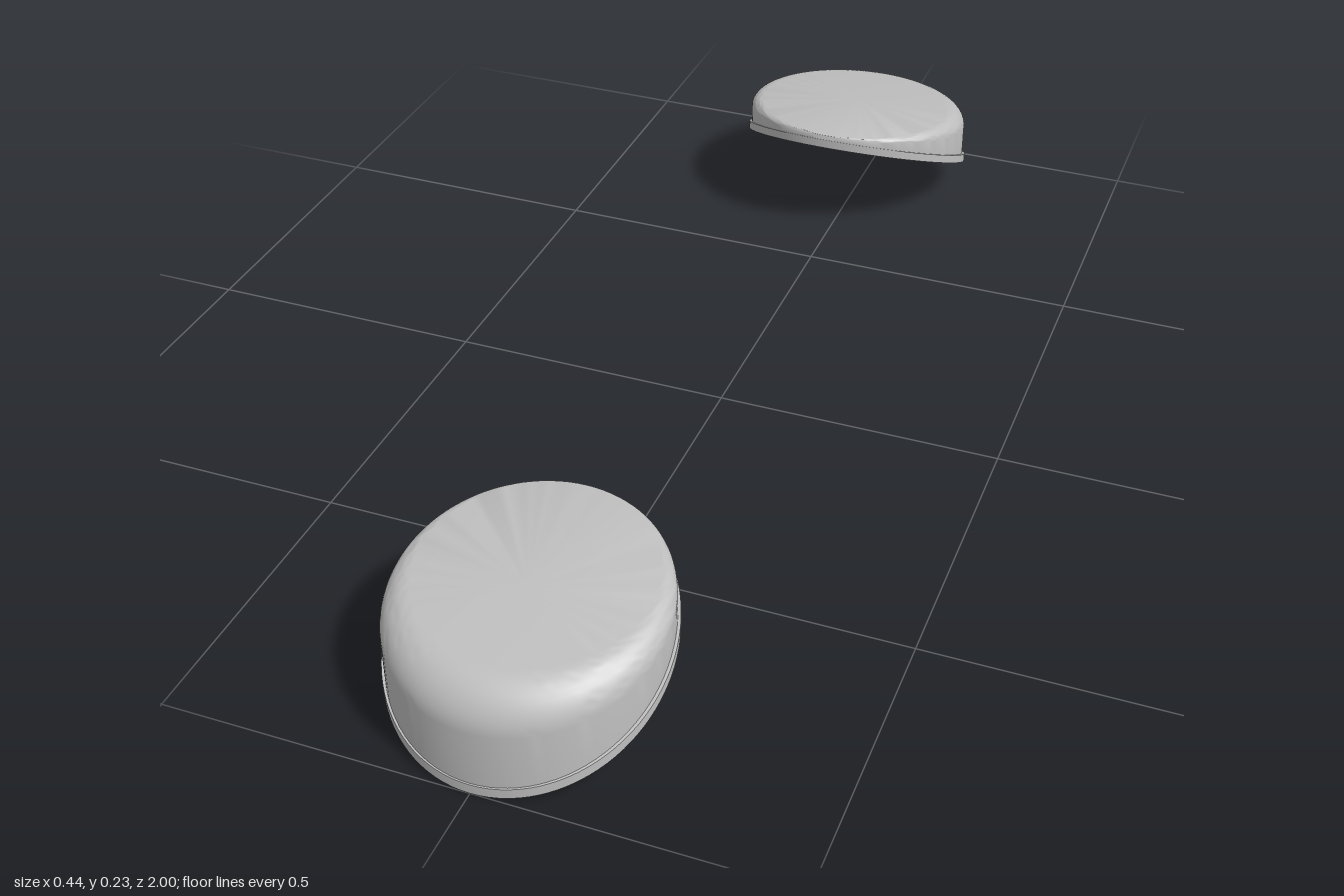
import * as THREE from 'three';
import { toCreasedNormals } from 'three/addons/utils/BufferGeometryUtils.js';

const SEGMENTS = 96;
const CENTER = 0.785;          // distance of each foot from the middle
const RIM_THICKNESS = 0.017;
const BODY_RADIUS = 0.213;

// Sloped planes, with z measured from the foot's own centre
const bottomY = (z) => 0.476 * (0.215 - z);
const rimTopY = (z) => bottomY(z) + RIM_THICKNESS;
const topY = (z) => 0.205 - 0.125 * z;

// Skin a list of rings, each ring a function of the angle, from bottom to top
function loft(rings) {
  const positions = [];
  const index = [];
  for (const ring of rings) {
    for (let j = 0; j < SEGMENTS; j++) positions.push(...ring((j / SEGMENTS) * Math.PI * 2));
  }
  for (let i = 0; i < rings.length - 1; i++) {
    for (let j = 0; j < SEGMENTS; j++) {
      const k = (j + 1) % SEGMENTS;
      const a = i * SEGMENTS + j, b = i * SEGMENTS + k;
      const c = b + SEGMENTS, d = a + SEGMENTS;
      if (i < rings.length - 2) index.push(b, c, d);
      if (rings[i] !== rings[0] || !rings[0].isPoint) index.push(a, b, d);
      else if (i === rings.length - 2) index.push(b, c, d);
    }
  }
  const geometry = new THREE.BufferGeometry();
  geometry.setAttribute('position', new THREE.Float32BufferAttribute(positions, 3));
  geometry.setIndex(index);
  return toCreasedNormals(geometry, 0.6);
}

function centerPoint(y) {
  const ring = () => [0, y, 0];
  ring.isPoint = true;
  return ring;
}

// Thin oval plate lying on the sloped underside
function rimGeometry() {
  const edge = (height) => (t) => {
    const z = 0.215 * Math.cos(t);
    return [0.218 * Math.sin(t), height(z), z];
  };
  return loft([centerPoint(bottomY(0)), edge(bottomY), edge(rimTopY), centerPoint(rimTopY(0))]);
}

// Wedge-shaped cap whose rounded edge grows with the wall height
function bodyGeometry() {
  const rings = [(t) => {
    const z = BODY_RADIUS * Math.cos(t);
    return [BODY_RADIUS * Math.sin(t), rimTopY(z), z];
  }];
  const steps = 10;
  for (let i = 0; i <= steps; i++) {
    const a = (i / steps) * Math.PI / 2;
    rings.push((t) => {
      const wallZ = BODY_RADIUS * Math.cos(t);
      const fillet = 0.4 * (topY(wallZ) - rimTopY(wallZ));
      const r = BODY_RADIUS - fillet * (1 - Math.cos(a));
      const z = r * Math.cos(t);
      return [r * Math.sin(t), topY(z) - fillet * (1 - Math.sin(a)), z];
    });
  }
  rings.push(centerPoint(topY(0)));
  return loft(rings);
}

export function createModel() {
  const model = new THREE.Group();
  model.name = 'wedgeFeet';
  const grey = new THREE.MeshStandardMaterial({ color: 0xbfbfbf });
  grey.name = 'light grey';

  const parts = { body: bodyGeometry(), rim: rimGeometry() };
  for (const [name, angle] of [['frontFoot', 0], ['backFoot', Math.PI]]) {
    const foot = new THREE.Group();
    foot.name = name;
    for (const [part, geometry] of Object.entries(parts)) {
      const mesh = new THREE.Mesh(geometry, grey);
      mesh.name = part;
      mesh.position.z = CENTER;
      foot.add(mesh);
    }
    foot.rotation.y = angle;
    model.add(foot);
  }
  return model;
}
